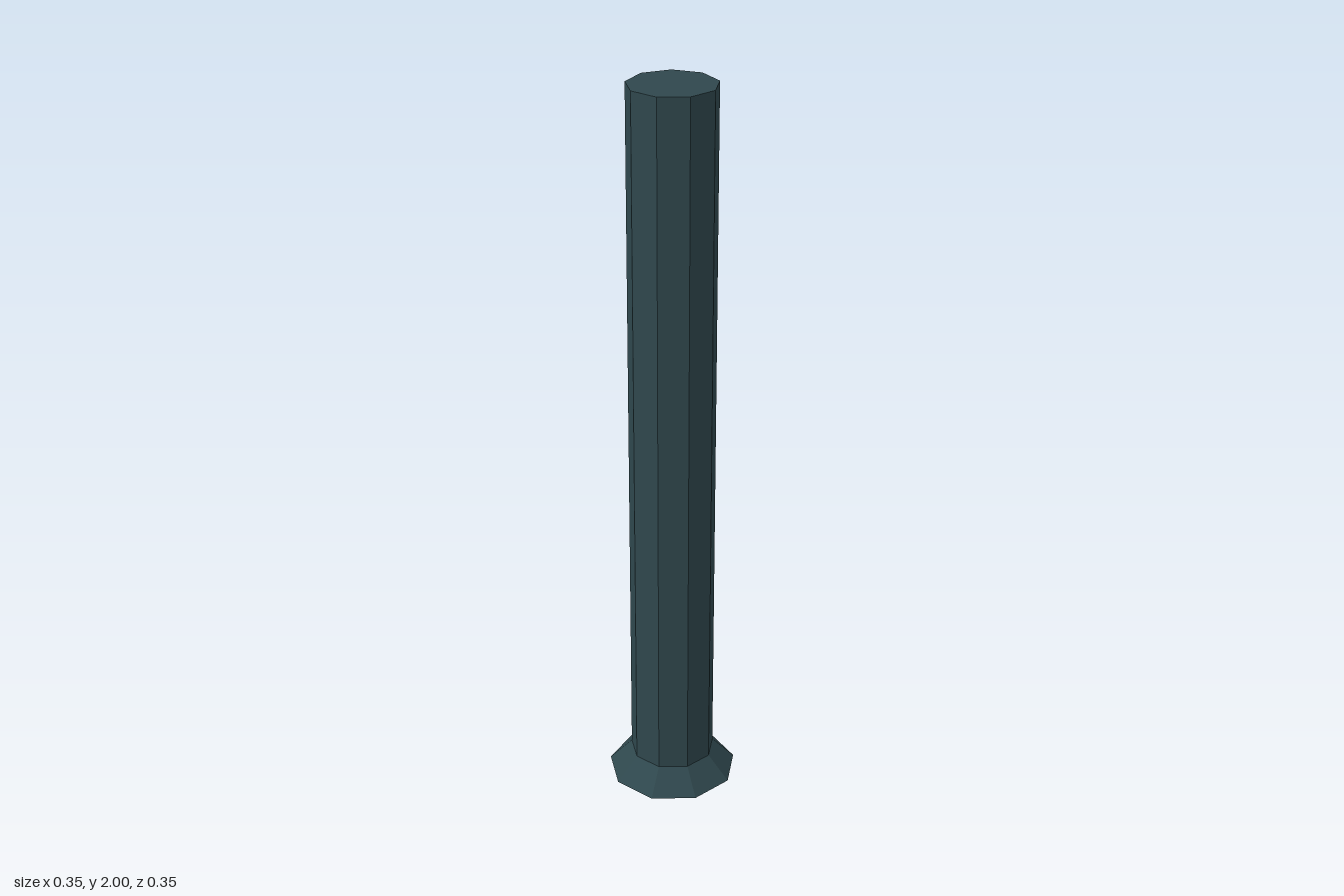
import * as THREE from 'three';

const SIDES = 9;
const SHAFT_RADIUS = 0.117;
const FOOT_RADIUS = 0.179;
const FOOT_HEIGHT = 0.066;
const HEIGHT = 2;

export function createModel() {
  const group = new THREE.Group();
  group.name = 'post';
  const material = new THREE.MeshStandardMaterial({ color: 0x2f474d, flatShading: true });

  // Nine-sided section with one corner pointing straight back
  const addSection = (name, topRadius, bottomRadius, y0, y1, open) => {
    const geometry = new THREE.CylinderGeometry(topRadius, bottomRadius, y1 - y0, SIDES, 1, open, Math.PI);
    const mesh = new THREE.Mesh(geometry, material);
    mesh.name = name;
    // Small z shift centres the odd-sided outline
    mesh.position.set(0, (y0 + y1) / 2, 0.0054);
    group.add(mesh);
  };

  // Flared foot
  addSection('foot', SHAFT_RADIUS, FOOT_RADIUS, 0, FOOT_HEIGHT, false);
  // Straight shaft
  addSection('shaft', SHAFT_RADIUS, SHAFT_RADIUS, FOOT_HEIGHT, HEIGHT, false);

  return group;
}
